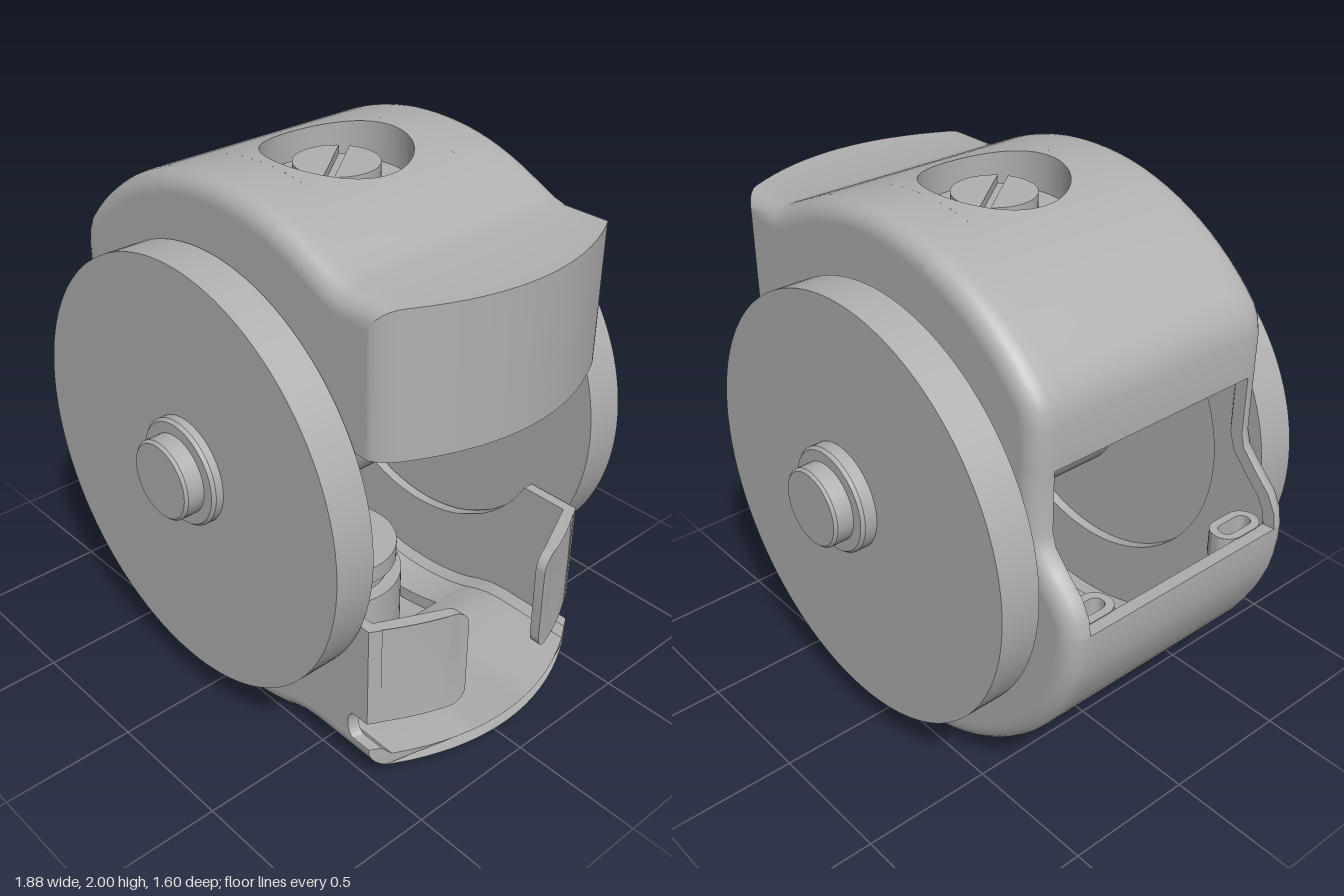
import * as THREE from 'three';
import { toCreasedNormals } from 'three/addons/utils/BufferGeometryUtils.js';

const ZC = 0.013, H = 0.517, R = 0.07; // shell centre, half width, edge rounding
const grey = new THREE.MeshStandardMaterial({ color: 0xb0b0b0, side: THREE.DoubleSide });
grey.name = 'grey plastic';

function add(group, name, geo, x = 0, y = 0, z = 0) {
  const m = new THREE.Mesh(geo, grey);
  m.name = name;
  m.position.set(x, y, z);
  group.add(m);
  return m;
}

// Bows everything near the open end into an arc in plan
const edgeX = z => 0.935 - 0.165 * ((z - ZC) / H) ** 2;
function bow(geo) {
  const p = geo.attributes.position;
  for (let i = 0; i < p.count; i++) {
    const x = p.getX(i);
    if (x > 0.6) p.setX(i, 0.6 + (x - 0.6) * (edgeX(p.getZ(i)) - 0.6) / 0.33);
  }
  return toCreasedNormals(geo, 0.6);
}

function mesh(pos, idx) {
  const g = new THREE.BufferGeometry();
  g.setAttribute('position', new THREE.Float32BufferAttribute(pos, 3));
  g.setIndex(idx);
  return g;
}

// Side outline of the shell, running over the top, down the back, under the bottom
const outline = [];
const mark = {};
const pts = (...list) => list.forEach(([x, y]) => outline.push(new THREE.Vector2(x, y)));
function arc(a0, a1, n) {
  for (let i = 0; i <= n; i++) {
    const a = a0 + (a1 - a0) * i / n;
    pts([0.03 + Math.cos(a), 1 + Math.sin(a)]);
  }
}
const D = Math.PI / 180, C = Math.acos(0.29);
const here = name => { mark[name] = outline.length - 1; };
pts([0.93, 1.33], [0.93, 1.84], [0.62, 1.84], [0.57, 1.852], [0.52, 1.875]);
arc(64 * D, C, 3); here('topHoleStart');
arc(C, Math.PI - C, 12); outline.splice(mark.topHoleStart, 1); here('topHoleEnd');
arc(Math.PI - C + 0.05, 136 * D, 8);
pts([-0.725, 1.655], [-0.748, 1.61], [-0.76, 1.55], [-0.76, 1.4]); here('windowStart');
pts([-0.76, 1.18], [-0.775, 1.13], [-0.83, 1.07], [-0.9, 1.0], [-0.932, 0.94], [-0.942, 0.88]); here('windowEnd');
pts([-0.942, 0.82], [-0.932, 0.74]);
arc(198 * D, Math.PI + C, 14); here('bottomHoleStart');
arc(Math.PI + C, 2 * Math.PI - C, 12); outline.splice(mark.bottomHoleStart, 1); here('bottomHoleEnd');
pts([0.38, 0.067], [0.44, 0.084], [0.5, 0.09], [0.93, 0.09]);

// Inward mitred normals
const segN = i => {
  const d = outline[i + 1].clone().sub(outline[i]).normalize();
  return new THREE.Vector2(-d.y, d.x);
};
const last = outline.length - 1;
const normals = outline.map((_, i) => {
  const a = segN(Math.max(i - 1, 0)), b = segN(Math.min(i, last - 1));
  return a.clone().add(b).divideScalar(1 + a.dot(b));
});

// Cross-sections as [depth, z]
const corner = [[0.08, H]];
for (let i = 0; i <= 6; i++) {
  const a = i * Math.PI / 12;
  corner.push([R * (1 - Math.sin(a)), H - R * (1 - Math.cos(a))]);
}
const flip = s => s.map(([d, z]) => [d, -z]).reverse();
const span = (d, w, n) => Array.from({ length: n - 1 }, (_, i) => [d, w - 2 * w * (i + 1) / n]);
const innerEnd = [[0.05, H - 0.07], [0.08, H - 0.04]];
const fullSection = [...corner, ...span(0, H - R, 16), ...flip(corner),
  ...flip(innerEnd), ...span(0.05, H - 0.07, 16).reverse(), ...innerEnd];
const edgeSection = z => [...corner, [0, z], [0.05, z], ...innerEnd];

// Sweeps a closed section along part of the outline and caps the ends
function sweep(i0, i1, section) {
  const pos = [], idx = [], n = section.length, rows = i1 - i0;
  for (let i = i0; i <= i1; i++) {
    for (const [d, z] of section) {
      pos.push(outline[i].x + normals[i].x * d, outline[i].y + normals[i].y * d, z + ZC);
    }
  }
  for (let i = 0; i < rows; i++) {
    for (let j = 0; j < n; j++) {
      const a = i * n + j, b = i * n + (j + 1) % n;
      idx.push(a, b, a + n, b, b + n, a + n);
    }
  }
  const cap = THREE.ShapeUtils.triangulateShape(section.map(([d, z]) => new THREE.Vector2(z, d)), []);
  for (const [a, b, c] of cap) idx.push(a, c, b, a + rows * n, b + rows * n, c + rows * n);
  return bow(mesh(pos, idx));
}

// Curved square of shell with a round recess in it
function recessPatch(sign, floorY) {
  const pos = [], idx = [], N = 64, rows = 5;
  for (let k = 0; k < rows; k++) {
    for (let i = 0; i < N; i++) {
      const a = i / N * Math.PI * 2, c = Math.cos(a), s = Math.sin(a);
      const square = 0.29 / Math.max(Math.abs(c), Math.abs(s));
      const r = 0.255 + (square - 0.255) * Math.max(k - 1, 0) / (rows - 2);
      pos.push(0.03 + r * c, k ? 1 + sign * Math.sqrt(1 - (r * c) ** 2) : floorY, ZC + r * s);
      if (k < rows - 1) {
        const p = k * N + i, q = k * N + (i + 1) % N;
        if (sign > 0) idx.push(p, q, p + N, q, q + N, p + N);
        else idx.push(p, p + N, q, q, p + N, q + N);
      }
    }
  }
  return toCreasedNormals(mesh(pos, idx), 0.6);
}

const lathe = list => toCreasedNormals(
  new THREE.LatheGeometry(list.map(([r, y]) => new THREE.Vector2(r, y)), 64), 0.6);

// C-shaped side wall with slot at the lower lip
function sideWall() {
  const s = new THREE.Shape(outline.map((p, i) => p.clone().addScaledVector(normals[i], R)));
  s.lineTo(0.93, 0.17);
  s.lineTo(0.78, 0.17);
  s.absarc(0.78, 0.225, 0.055, -Math.PI / 2, Math.PI / 2, true);
  s.lineTo(0.91, 0.28);
  s.lineTo(0.91, 0.68);
  s.absarc(0, 0.97, 0.62, Math.asin(-0.29 / 0.62), Math.asin(0.36 / 0.62), true);
  return new THREE.ExtrudeGeometry(s, { depth: 0.04, bevelEnabled: false, curveSegments: 40 });
}

// Curved retaining tab reaching in from a side wall
function lipTab(side) {
  const s = new THREE.Shape(), r = 0.06, a = 0.19, b = H - 0.005;
  for (let i = 0; i <= 8; i++) {
    const z = b + (a + r - b) * i / 8;
    if (i) s.lineTo(z, 0.68); else s.moveTo(z, 0.68);
  }
  s.absarc(a + r, 0.68 - r, r, Math.PI / 2, Math.PI, false);
  s.absarc(a + r, 0.28 + r, r, Math.PI, Math.PI * 1.5, false);
  for (let i = 1; i <= 8; i++) s.lineTo(a + r + (b - a - r) * i / 8, 0.28);
  const g = new THREE.ExtrudeGeometry(s, { depth: 0.04, bevelEnabled: false });
  const p = g.attributes.position;
  for (let i = 0; i < p.count; i++) {
    const z = ZC + side * p.getX(i);
    p.setXYZ(i, edgeX(z) - 0.015 - p.getZ(i), p.getY(i), z);
  }
  if (side > 0) { // keep outward winding
    for (let i = 0; i < p.count; i += 3) {
      const b1 = [p.getX(i + 1), p.getY(i + 1), p.getZ(i + 1)];
      p.setXYZ(i + 1, p.getX(i + 2), p.getY(i + 2), p.getZ(i + 2));
      p.setXYZ(i + 2, ...b1);
    }
  }
  return toCreasedNormals(g, 0.6);
}

export function createModel() {
  const model = new THREE.Group();
  model.name = 'twinDiscHousing';

  // Shell skin
  const m = mark;
  add(model, 'topHood', sweep(0, m.topHoleStart, fullSection));
  add(model, 'rearHood', sweep(m.topHoleEnd, m.windowStart, fullSection));
  add(model, 'lowerShell', sweep(m.windowEnd, m.bottomHoleStart, fullSection));
  add(model, 'bottomLip', sweep(m.bottomHoleEnd, last, fullSection));
  const strips = [[m.topHoleStart, m.topHoleEnd, 0.29, 'topRim'],
    [m.windowStart, m.windowEnd, 0.44, 'windowFrame'],
    [m.bottomHoleStart, m.bottomHoleEnd, 0.29, 'bottomRim']];
  for (const [a, b, z, name] of strips) {
    add(model, name, sweep(a, b, edgeSection(z)));
    add(model, name, sweep(a, b, flip(edgeSection(z))));
  }
  add(model, 'topRecess', recessPatch(1, 1.86));
  add(model, 'bottomRecess', recessPatch(-1, 0.14));

  // Bosses behind the recesses
  add(model, 'topBoss', lathe([[0, 1.82], [0.26, 1.82], [0.26, 1.86], [0, 1.86]]), 0.03, 0, ZC);
  add(model, 'bottomBoss', lathe([[0, 0.24], [0.1, 0.24], [0.1, 0.14], [0.255, 0.14], [0.255, 0.27],
    [0.2, 0.27], [0.2, 0.32], [0.235, 0.33], [0.235, 0.4], [0, 0.4]]), 0.03, 0, ZC);

  // Slotted screw head
  const screw = new THREE.Group();
  screw.name = 'screw';
  screw.position.set(0.03, 1.86, ZC);
  screw.rotation.y = -52 * D;
  add(screw, 'screwBase', new THREE.CylinderGeometry(0.148, 0.148, 0.05, 48), 0, 0.025, 0);
  const a = Math.asin(0.018 / 0.148);
  for (const turn of [0, Math.PI]) {
    const half = new THREE.Shape().absarc(0, 0, 0.148, a, Math.PI - a, false);
    const g = new THREE.ExtrudeGeometry(half, { depth: 0.03, bevelEnabled: false, curveSegments: 24 });
    g.rotateX(-Math.PI / 2).rotateY(turn);
    add(screw, 'screwHalf', toCreasedNormals(g, 0.6), 0, 0.05, 0);
  }
  model.add(screw);

  for (const side of [1, -1]) {
    // Side wall and tab
    const wall = sideWall();
    wall.translate(0, 0, side > 0 ? ZC + H - 0.04 : ZC - H);
    add(model, 'sideWall', bow(wall));
    add(model, 'lipTab', lipTab(side));

    // Slotted lug on the window ledge
    const capsule = (r, l, S) => new S().absarc(0, l, r, 0, Math.PI, false).absarc(0, -l, r, Math.PI, Math.PI * 2, false);
    const lug = capsule(0.06, 0.04, THREE.Shape);
    lug.holes.push(capsule(0.03, 0.04, THREE.Path));
    const g = new THREE.ExtrudeGeometry(lug, { depth: 0.1, bevelEnabled: false });
    add(model, 'ledgeLug', toCreasedNormals(g.rotateX(-Math.PI / 2), 0.6), -0.835, 0.78, ZC + side * 0.355);

    // Discs and axle ends
    const disc = new THREE.CylinderGeometry(0.79, 0.79, 0.152, 128).rotateX(Math.PI / 2);
    add(model, 'disc', disc, -0.01, 0.97, side > 0 ? 0.61 : -0.592);
    const end = lathe([[0.195, 0], [0.195, 0.715], [0.185, 0.727], [0.145, 0.727], [0.145, 0.79], [0.135, 0.8], [0, 0.8]]);
    add(model, 'axleEnd', end.rotateX(side * Math.PI / 2), 0.03, 1.02, 0);
  }
  add(model, 'hub', new THREE.CylinderGeometry(0.265, 0.265, 0.725, 64).rotateX(Math.PI / 2), 0.03, 1.02, 0.012);
  return model;
}
